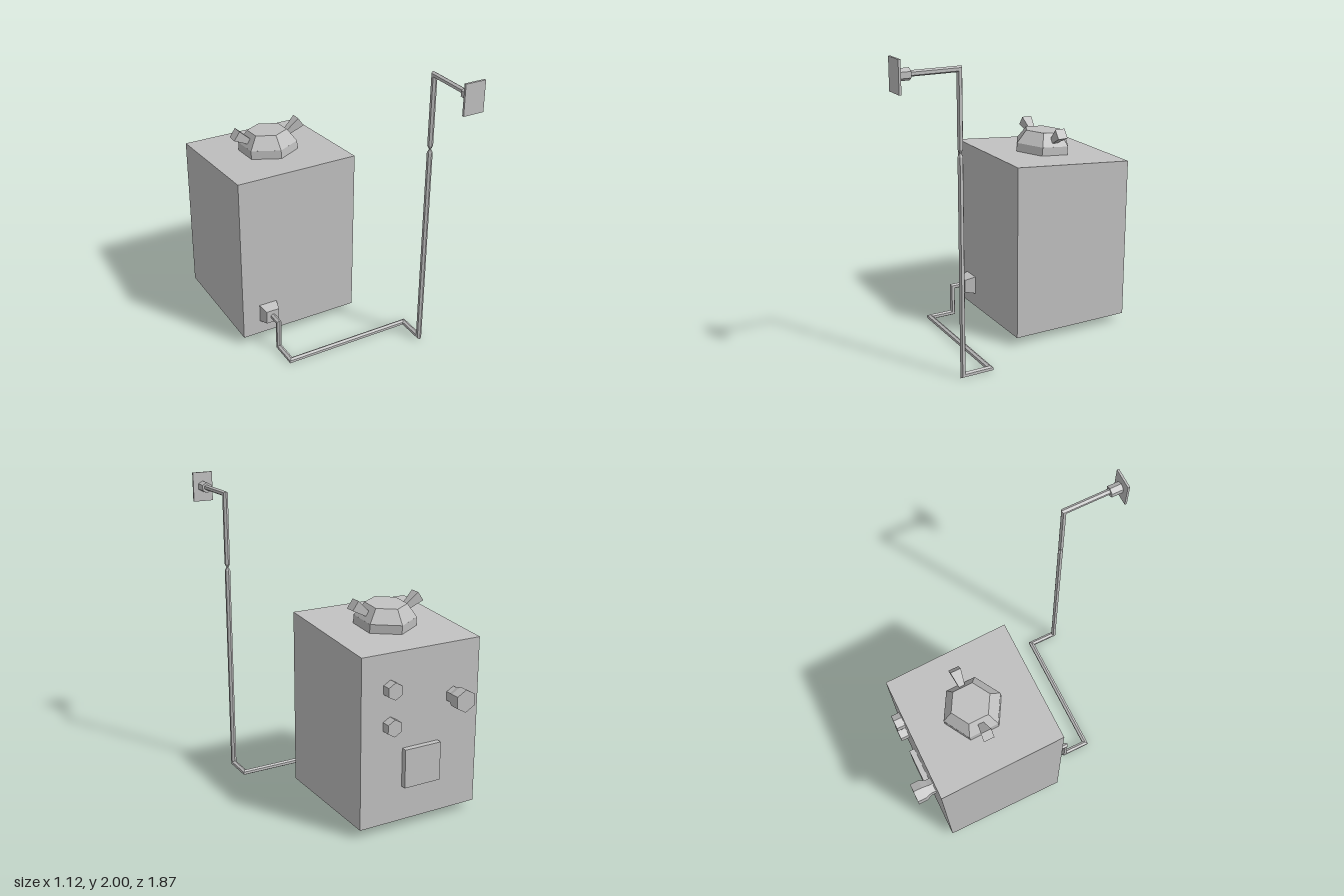
import * as THREE from 'three';

const grey = new THREE.MeshStandardMaterial({ color: 0xc0c0c0, flatShading: true });
grey.name = 'plain grey';

export function createModel() {
  const model = new THREE.Group();
  const add = (name, geometry, x = 0, y = 0, z = 0, parent = model) => {
    const mesh = new THREE.Mesh(geometry, grey);
    mesh.name = name;
    mesh.position.set(x, y, z);
    parent.add(mesh);
    return mesh;
  };
  // Prism or frustum along z, with its points at top and bottom
  const alongZ = (rFront, rBack, z0, z1, sides = 6) => {
    const g = new THREE.CylinderGeometry(rFront, rBack, z1 - z0, sides);
    if (sides === 4) g.rotateY(Math.PI / 4);
    return g.rotateX(Math.PI / 2).translate(0, 0, (z0 + z1) / 2);
  };

  // Tank body with its top sloping down to the back
  const body = new THREE.BoxGeometry(0.836, 1.155, 0.836).translate(0, 0.6325, 0);
  const p = body.attributes.position;
  for (let i = 0; i < p.count; i++) {
    if (p.getY(i) > 1 && p.getZ(i) < 0) p.setY(i, 1.145);
  }
  add('body', body, -0.147, 0, -0.385);

  // Feet
  for (const x of [-0.46, 0.165]) {
    for (const z of [-0.07, -0.69]) {
      add('foot', new THREE.CylinderGeometry(0.044, 0.027, 0.045, 6), x, 0.0375, z);
    }
  }

  // Hexagonal lid lying on the slope, with two wing handles
  const lid = new THREE.Group();
  lid.name = 'lid';
  lid.position.set(-0.146, 1.176, -0.388);
  lid.rotation.x = -0.078;
  model.add(lid);
  add('lidRim', new THREE.CylinderGeometry(0.196, 0.196, 0.06, 6), 0, 0.028, 0, lid);
  add('lidTop', new THREE.CylinderGeometry(0.132, 0.196, 0.085, 6), 0, 0.1, 0, lid);
  for (const side of [-1, 1]) {
    const g = new THREE.CylinderGeometry(0.035 * Math.SQRT2, 0.014 * Math.SQRT2, 0.15, 4);
    g.rotateY(Math.PI / 4);
    const wing = add(side < 0 ? 'rightWing' : 'leftWing', g, -0.146 + side * 0.174, 1.293, -0.396);
    wing.rotation.z = -side * 0.96;
  }

  // Dials, valve and cover on the back
  for (const y of [0.695, 0.925]) add('dial', alongZ(0.055, 0.055, -0.86, -0.795), 0.072, y, 0);
  add('valveNeck', alongZ(0.055, 0.055, -0.835, -0.795), -0.38, 0.805, 0);
  add('valveFlare', alongZ(0.055, 0.073, -0.875, -0.835), -0.38, 0.805, 0);
  add('valveKnob', alongZ(0.073, 0.073, -0.935, -0.875), -0.38, 0.805, 0);
  add('backCover', new THREE.BoxGeometry(0.255, 0.25, 0.045), -0.147, 0.405, -0.8175);

  // Outlet nozzle on the front
  const outlet = alongZ(0.045 * Math.SQRT2, 0.0625 * Math.SQRT2, 0.03, 0.105, 4);
  add('outlet', outlet, -0.382, 0.213, 0);

  // Pipe in two runs, with a pinched joint between them
  const up = new THREE.Vector3(0, 1, 0), front = new THREE.Vector3(0, 0, 1);
  add('lowerPipe', pipe([
    [-0.382, 0.213, 0.1], [-0.382, 0.213, 0.183], [-0.382, 0.018, 0.183], [-0.382, 0.018, 0.356],
    [0.495, 0.018, 0.356], [0.495, 0.018, 0.542], [0.495, 1.4, 0.542]], up));
  add('upperPipe', pipe([[0.495, 1.445, 0.542], [0.495, 1.907, 0.542], [0.495, 1.907, 0.86]], front));
  add('jointBottom', new THREE.CylinderGeometry(0.006, R, 0.022, 6), 0.495, 1.411, 0.542);
  add('jointTop', new THREE.CylinderGeometry(R, 0.006, 0.023, 6), 0.495, 1.4335, 0.542);

  // Wall fitting at the end of the pipe
  add('coupling', alongZ(0.036, 0.036, 0.845, 0.926), 0.493, 1.905, 0);
  add('wallPlate', new THREE.BoxGeometry(0.137, 0.195, 0.014), 0.491, 1.9025, 0.928);
  return model;
}

const R = 0.018;

// Six-sided pipe with mitred corners along straight runs
function pipe(points, u) {
  const path = points.map((q) => new THREE.Vector3(...q));
  const dir = (i) => path[i + 1].clone().sub(path[i]).normalize();
  const v = dir(0).cross(u);
  let ring = [];
  for (let j = 0; j < 6; j++) {
    const a = (j * Math.PI) / 3;
    ring.push(path[0].clone().addScaledVector(u, R * Math.cos(a)).addScaledVector(v, R * Math.sin(a)));
  }
  const out = [];
  for (let i = 1; i < path.length; i++) {
    const d = dir(i - 1);
    const n = i < path.length - 1 ? d.clone().add(dir(i)) : d;
    const next = ring.map((q) =>
      q.clone().addScaledVector(d, path[i].clone().sub(q).dot(n) / d.dot(n)));
    for (let j = 0; j < 6; j++) {
      const k = (j + 1) % 6;
      for (const q of [ring[j], ring[k], next[k], ring[j], next[k], next[j]]) out.push(q);
    }
    ring = next;
  }
  const g = new THREE.BufferGeometry().setFromPoints(out);
  g.computeVertexNormals();
  return g;
}
